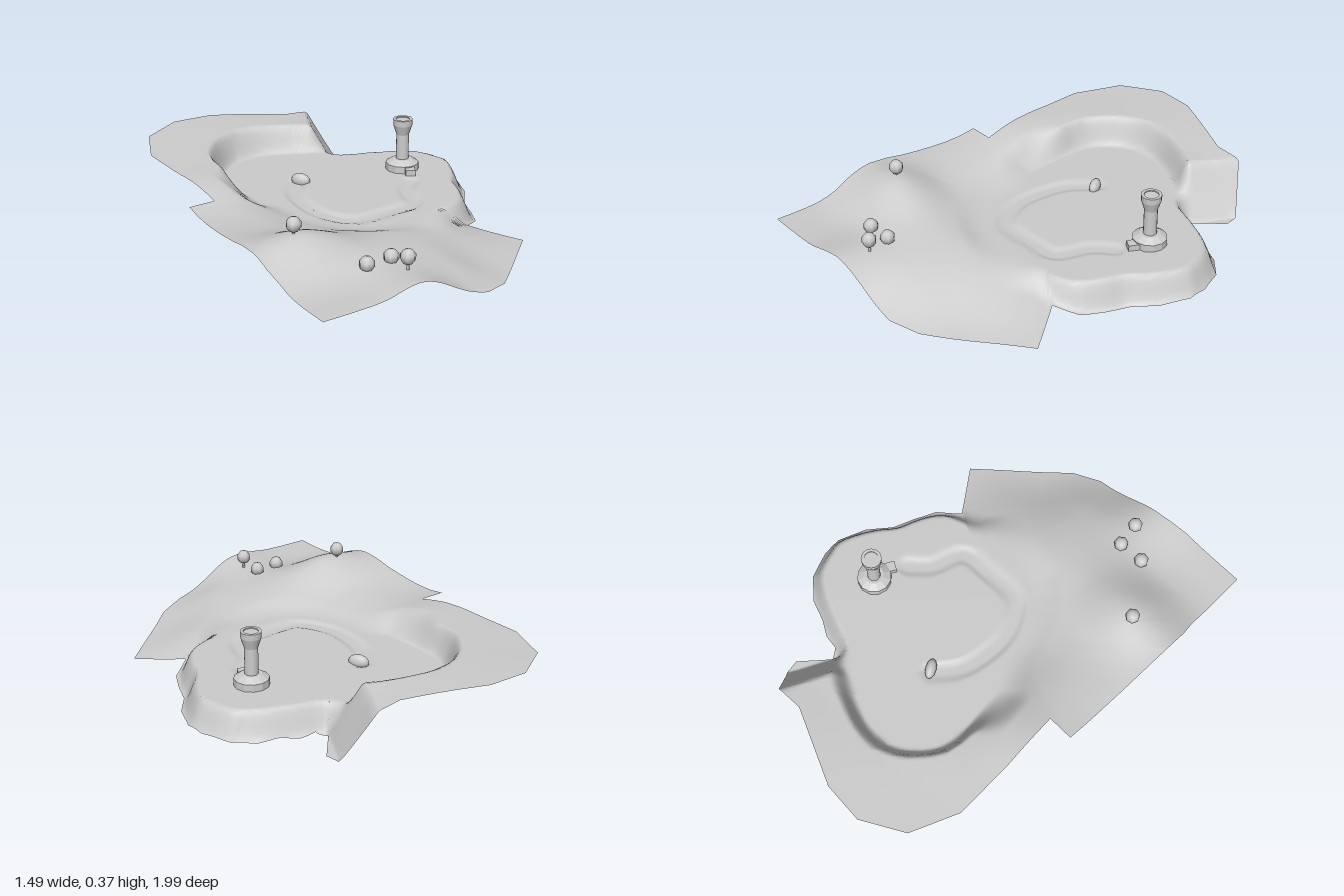
import * as THREE from 'three';

const { smoothstep, lerp } = THREE.MathUtils;
const pairs = (a) => a.map(([x, z]) => new THREE.Vector2(x, z));

// Outer edge of the land, clockwise from the back
const OUTLINE = pairs([
  [-0.34, -1], [-0.15, -0.99], [0.2, -0.84], [0.33, -0.845], [0.43, -0.74], [0.44, -0.675],
  [0.33, -0.55], [0.36, -0.505], [0.43, -0.495], [0.5, -0.455], [0.6, -0.42], [0.69, -0.34],
  [0.735, -0.22], [0.74, -0.13], [0.69, 0], [0.61, 0.1], [0.57, 0.2], [0.52, 0.3], [0.42, 0.37],
  [0.57, 0.575], [0.2, 0.9], [0.07, 0.955], [-0.1, 0.96], [-0.28, 0.97], [-0.43, 0.99],
  [-0.735, 0.99], [-0.735, 0.68], [-0.745, 0.6], [-0.745, 0.48], [-0.72, -0.1], [-0.6, -0.1],
  [-0.62, -0.38], [-0.625, -0.67], [-0.53, -0.89],
]);

// Edge of the level basin floor, closed
const FLOOR = new THREE.SplineCurve(pairs([
  [-0.34, -0.15], [-0.36, -0.45], [-0.29, -0.59], [-0.18, -0.67], [-0.05, -0.68], [0.1, -0.63],
  [0.22, -0.56], [0.3, -0.48], [0.42, -0.435], [0.55, -0.38], [0.64, -0.31], [0.68, -0.2],
  [0.68, -0.13], [0.62, -0.01], [0.55, 0.08], [0.51, 0.18], [0.45, 0.27], [0.34, 0.32],
  [0.15, 0.36], [-0.08, 0.31], [-0.18, 0.18], [-0.23, 0], [-0.34, -0.15],
])).getPoints(66);

// Shallow stream bed across the floor
const STREAM = new THREE.SplineCurve(pairs([
  [-0.06, -0.3], [-0.15, -0.18], [-0.18, 0], [-0.15, 0.13], [-0.07, 0.22], [0.1, 0.22],
  [0.24, 0.2], [0.3, 0.06], [0.38, -0.02],
])).getPoints(32);

// Heights of the surrounding land: rows run back to front, columns run along x, 0.25 apart
const HEIGHTS = [
  [0.26, 0.265, 0.268, 0.265, 0.25, 0.225, 0.2],
  [0.255, 0.26, 0.266, 0.262, 0.245, 0.22, 0.2],
  [0.25, 0.26, 0.258, 0.252, 0.24, 0.2, 0],
  [0.25, 0.25, 0.2, 0.13, 0.1, 0.015, 0.015],
  [0.21, 0.2, 0.135, 0.13, 0.1, 0.015, 0.015],
  [0.22, 0.195, 0.15, 0.13, 0.1, 0.015, 0.01],
  [0.245, 0.275, 0.2, 0.155, 0.09, 0.02, 0],
  [0.165, 0.17, 0.18, 0.13, 0.035, 0.005, 0],
  [0.16, 0.165, 0.187, 0.06, 0.015, 0.005, 0],
];

function cubic(list, t) {
  const n = list.length - 1;
  t = Math.min(Math.max(t, 0), n);
  const i = Math.min(Math.floor(t), n - 1), f = t - i;
  const [a, b, c, d] = [-1, 0, 1, 2].map((k) => list[Math.min(Math.max(i + k, 0), n)]);
  return b + 0.5 * f * (c - a + f * (2 * a - 5 * b + 4 * c - d + f * (3 * (b - c) + d - a)));
}

// Distance to a polyline; negative inside if it is closed
function distance(x, z, pts, closed) {
  let best = Infinity, inside = false;
  for (let i = 1; i < pts.length; i++) {
    const a = pts[i - 1], b = pts[i];
    const dx = b.x - a.x, dz = b.y - a.y;
    const t = Math.min(Math.max(((x - a.x) * dx + (z - a.y) * dz) / (dx * dx + dz * dz), 0), 1);
    best = Math.min(best, Math.hypot(x - a.x - t * dx, z - a.y - t * dz));
    if ((a.y > z) !== (b.y > z) && x < a.x + ((z - a.y) / dz) * dx) inside = !inside;
  }
  return closed && inside ? -best : best;
}

function landHeight(x, z) {
  let outer = cubic(HEIGHTS.map((row) => cubic(row, (x + 0.75) * 4)), (z + 1) * 4);
  // The back rim falls away at its right end
  if (z < -0.35) {
    const fall = Math.min(Math.max((x + 0.5 * z + 0.1) / 0.155, 0), 1);
    outer = lerp(outer, 0.008, fall);
  }
  const bed = 1 - smoothstep(distance(x, z, STREAM, false), 0.02, 0.055);
  const floor = 0.132 - 0.01 * bed;
  // Steep banks at the back and right, gentle ones at the front left
  const bank = lerp(0.06, 0.15, smoothstep(z - x, 0, 0.25));
  const blend = smoothstep(distance(x, z, FLOOR, true), -0.01, bank);
  return Math.max(0, lerp(floor, outer, blend));
}

// Sheet of land: rings shrinking from the outline to one inner point
function landGeometry() {
  const rim = [], rings = 70, steps = 7, cx = -0.2, cz = 0.05;
  OUTLINE.forEach((p, i) => {
    const q = OUTLINE[(i + 1) % OUTLINE.length];
    for (let s = 0; s < steps; s++) rim.push(p.clone().lerp(q, s / steps));
  });
  const n = rim.length, pos = [cx, landHeight(cx, cz), cz], index = [];
  for (let r = 1; r <= rings; r++) {
    rim.forEach((p, i) => {
      const x = cx + ((p.x - cx) * r) / rings, z = cz + ((p.y - cz) * r) / rings;
      pos.push(x, landHeight(x, z), z);
      const j = (i + 1) % n, o = 1 + (r - 1) * n, q = o - n;
      if (r === 1) index.push(0, o + j, o + i);
      else index.push(q + i, q + j, o + j, q + i, o + j, o + i);
    });
  }
  const g = new THREE.BufferGeometry();
  g.setAttribute('position', new THREE.Float32BufferAttribute(pos, 3));
  g.setIndex(index);
  g.computeVertexNormals();
  return g;
}

export function createModel() {
  const model = new THREE.Group();
  const grey = new THREE.MeshStandardMaterial({ color: 0xcccccc, side: THREE.DoubleSide });
  grey.name = 'light grey';
  const add = (parent, name, geometry, x = 0, y = 0, z = 0) => {
    const m = new THREE.Mesh(geometry, grey);
    m.name = name;
    m.position.set(x, y, z);
    parent.add(m);
    return m;
  };

  add(model, 'land', landGeometry());

  // Tower: stepped foot, shaft and flared top with a sunken roof
  const tower = new THREE.Group();
  tower.name = 'tower';
  tower.position.set(0.44, 0, -0.17);
  model.add(tower);
  const lathe = (pts, sides) => {
    const g = new THREE.LatheGeometry(pairs(pts), sides).toNonIndexed();
    g.computeVertexNormals();
    return g;
  };
  add(tower, 'towerFoot', lathe([[0, 0.11], [0.078, 0.11], [0.078, 0.165], [0.045, 0.185], [0, 0.185]], 12));
  add(tower, 'towerShaft', lathe([[0.03, 0.18], [0.03, 0.305], [0.045, 0.352], [0.046, 0.38],
    [0.032, 0.38], [0.032, 0.375], [0, 0.375]], 16));
  const step = add(tower, 'towerStep', new THREE.BoxGeometry(0.045, 0.03, 0.05), -0.015, 0.145, 0.085);
  step.rotation.y = -0.5;

  // Boulder at the spring
  const boulder = add(model, 'boulder', new THREE.SphereGeometry(1, 12, 8), -0.05, 0.137, -0.29);
  boulder.scale.set(0.025, 0.033, 0.048);
  boulder.rotation.y = 0.55;

  // Round trees: crown centre x, y, z
  [[-0.545, 0.314, 0.47], [-0.37, 0.2, 0.735], [-0.25, 0.2, 0.73], [-0.24, 0.236, 0.83]].forEach(([x, y, z]) => {
    const tree = new THREE.Group();
    tree.name = 'tree';
    tree.position.set(x, y, z);
    add(tree, 'crown', new THREE.SphereGeometry(0.034, 7, 5));
    add(tree, 'trunk', new THREE.CylinderGeometry(0.006, 0.006, 0.1, 6), 0, -0.07, 0);
    model.add(tree);
  });

  return model;
}
